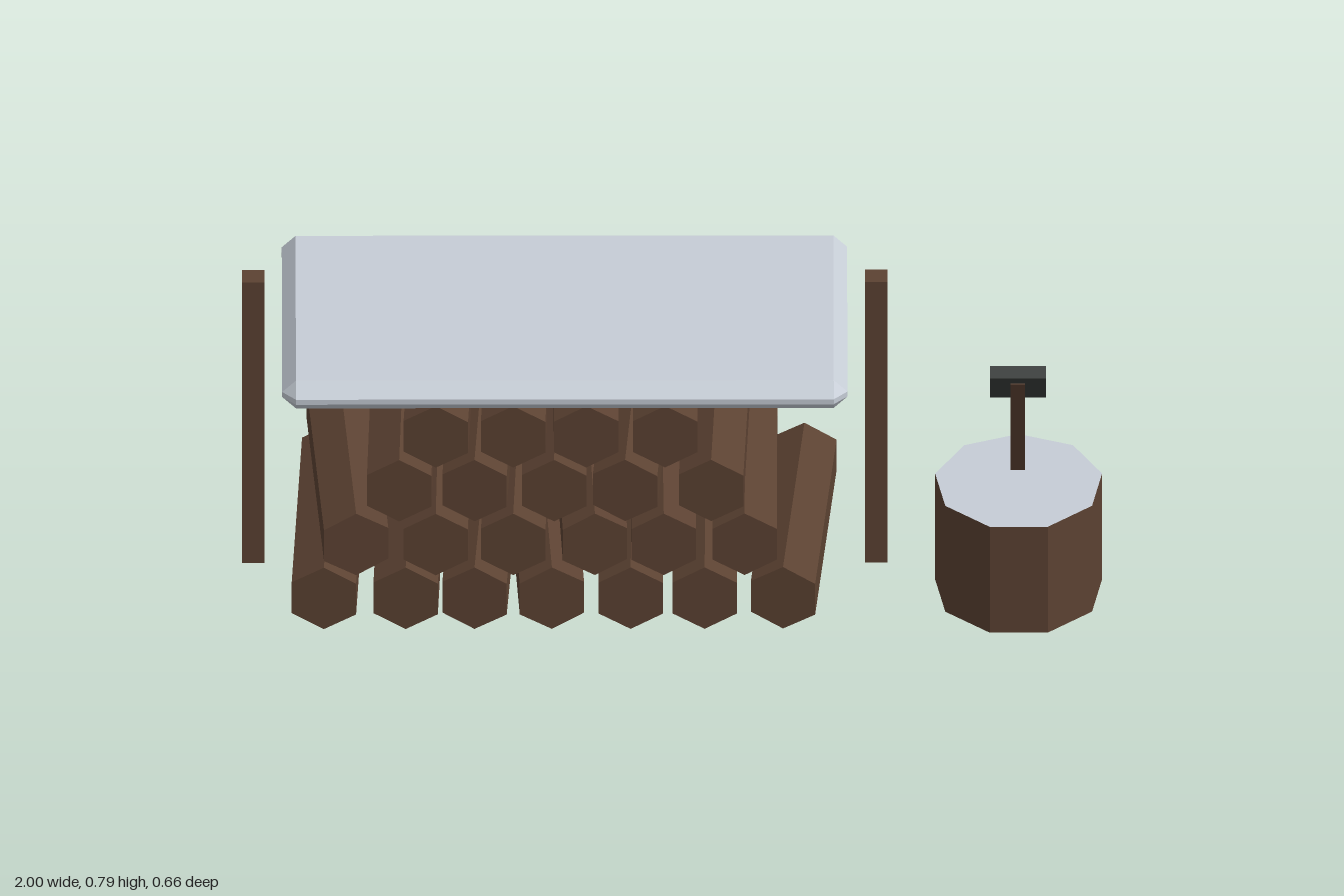
import * as THREE from 'three';
import { ConvexGeometry } from 'three/addons/geometries/ConvexGeometry.js';

const wood = new THREE.MeshStandardMaterial({ color: 0x5c4232 });
wood.name = 'darkWood';
const pale = new THREE.MeshStandardMaterial({ color: 0xc6cdd6 });
pale.name = 'paleGrey';
const iron = new THREE.MeshStandardMaterial({ color: 0x363a38 });
iron.name = 'darkIron';

// Gives a geometry one normal per face
function flat(geometry) {
  const g = geometry.toNonIndexed();
  g.computeVertexNormals();
  return g;
}

function add(parent, name, geometry, material, x = 0, y = 0, z = 0) {
  const mesh = new THREE.Mesh(geometry, material);
  mesh.name = name;
  mesh.position.set(x, y, z);
  parent.add(mesh);
  return mesh;
}

// Box with single chamfers on all edges and corners
function chamferedBox(w, h, d, c) {
  const points = [];
  for (const sx of [-1, 1]) for (const sy of [-1, 1]) for (const sz of [-1, 1]) {
    const x = w / 2, y = h / 2, z = d / 2;
    points.push(
      new THREE.Vector3(sx * x, sy * (y - c), sz * (z - c)),
      new THREE.Vector3(sx * (x - c), sy * y, sz * (z - c)),
      new THREE.Vector3(sx * (x - c), sy * (y - c), sz * z));
  }
  return new ConvexGeometry(points);
}

// Rows of logs, bottom up: [front x, back x] for each log
const LOG_ROWS = [
  [[-0.81, -0.785], [-0.62, -0.6], [-0.46, -0.425], [-0.28, -0.31], [-0.097, -0.093], [0.075, 0.078], [0.257, 0.308]],
  [[-0.735, -0.775], [-0.55, -0.54], [-0.37, -0.35], [-0.18, -0.205], [-0.02, -0.025], [0.168, 0.17]],
  [[-0.635, -0.62], [-0.46, -0.43], [-0.275, -0.265], [-0.11, -0.07], [0.09, 0.112]],
  [[-0.55, -0.525], [-0.37, -0.355], [-0.2, -0.205], [-0.017, -0.012]],
];

export function createModel() {
  const model = new THREE.Group();
  model.name = 'woodpile';

  // Stacked hexagonal logs, each slightly turned
  const logs = new THREE.Group();
  logs.name = 'logStack';
  model.add(logs);
  const logGeometry = flat(new THREE.CylinderGeometry(0.0865, 0.0865, 0.596, 6).rotateX(Math.PI / 2));
  LOG_ROWS.forEach((row, i) => row.forEach(([front, back]) => {
    const log = add(logs, 'log', logGeometry, wood, (front + back) / 2, 0.0865 + i * 0.1515, 0);
    log.rotation.y = Math.atan2(front - back, 0.596);
  }));

  // Cover slab on top of the pile
  add(model, 'cover', chamferedBox(1.314, 0.078, 0.66, 0.032), pale, -0.25, 0.661, 0);

  // Posts on both sides
  for (const x of [-0.974, 0.474]) {
    add(model, 'post', new THREE.BoxGeometry(0.052, 0.79, 0.052), wood, x, 0.395, 0);
  }

  // Nine-sided chopping block with a pale cut top
  const block = flat(new THREE.CylinderGeometry(0.197, 0.197, 0.298, 9).rotateY(Math.PI));
  add(model, 'choppingBlock', block, [wood, pale, wood], 0.805, 0.149, 0.13);

  // Axe leaning forward out of the block
  const axe = new THREE.Group();
  axe.name = 'axe';
  axe.position.set(0.803, 0.3, 0.063);
  axe.rotation.x = 0.4;
  model.add(axe);
  add(axe, 'axeHandle', new THREE.BoxGeometry(0.034, 0.42, 0.034), wood, 0, 0.163, 0);
  add(axe, 'axeHead', new THREE.BoxGeometry(0.13, 0.082, 0.034), iron, 0, 0.355, -0.002);

  return model;
}
